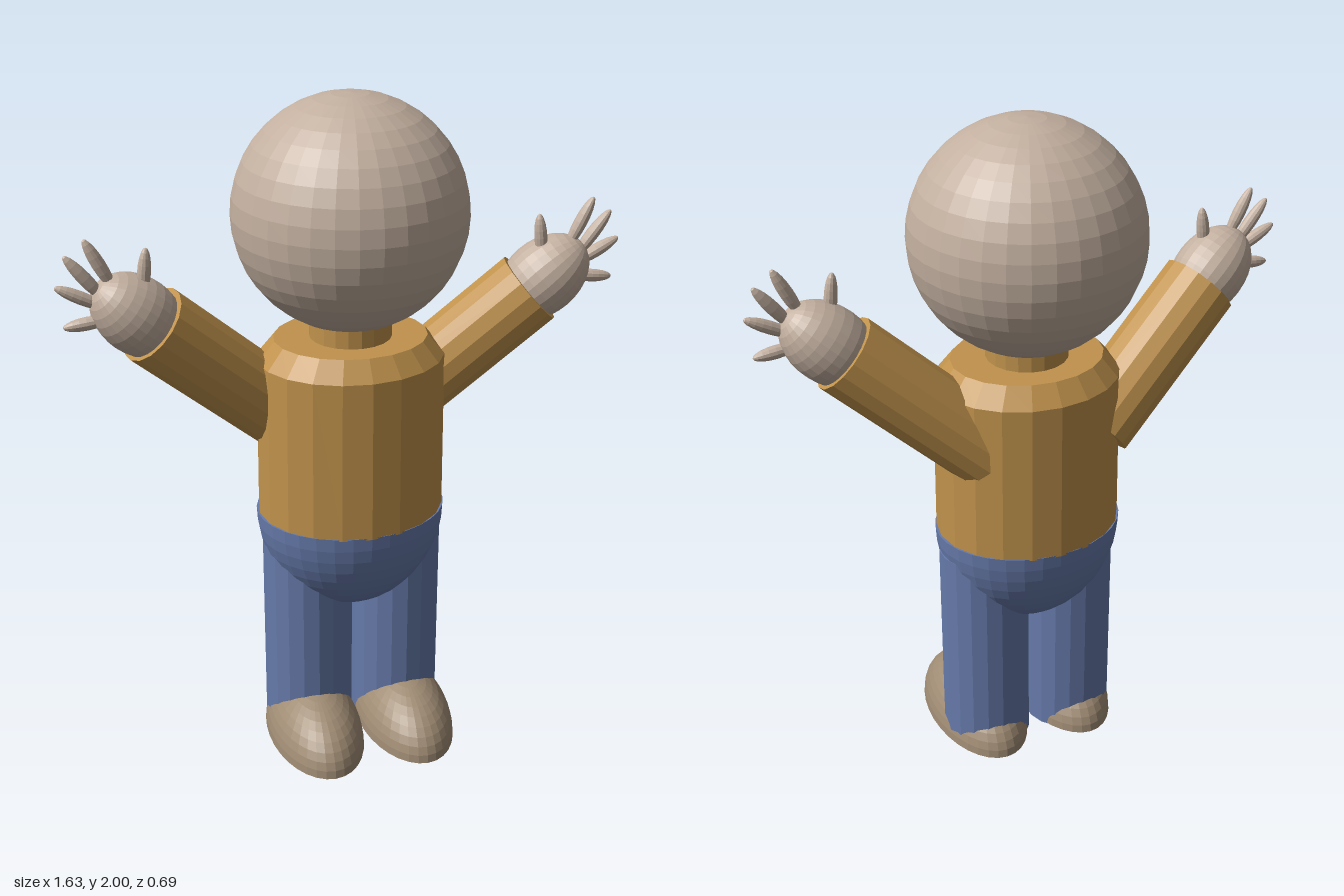
import * as THREE from 'three';

const paint = (color) => new THREE.MeshStandardMaterial({ color, flatShading: true });
const CX = 0.02; // the trunk and legs sit slightly to one side of the arms
const UP = new THREE.Vector3(0, 1, 0);

export function createModel() {
  const model = new THREE.Group();
  model.name = 'figure';
  const skin = paint(0xc2af9f);
  const shirt = paint(0xc0924c);
  const trousers = paint(0x667aaa);
  const leather = paint(0xa08c74);

  const add = (name, geometry, material, position, scale = [1, 1, 1], parent = model) => {
    const mesh = new THREE.Mesh(geometry, material);
    mesh.name = name;
    mesh.position.set(...position);
    mesh.scale.set(...scale);
    parent.add(mesh);
    return mesh;
  };

  // Stretches a mesh's own y axis along the line between two points
  const aim = (mesh, from, to) => {
    mesh.position.copy(from).add(to).multiplyScalar(0.5);
    mesh.quaternion.setFromUnitVectors(UP, to.clone().sub(from).normalize());
    return mesh;
  };

  // Head and neck
  add('head', new THREE.SphereGeometry(0.336, 32, 20), skin, [CX, 1.664, -0.005]);
  add('neck', new THREE.CylinderGeometry(0.12, 0.12, 0.16, 20), shirt, [CX, 1.3, 0]);

  // Torso with sloped shoulders, oval in plan
  const outline = [[0, 0.75], [0.28, 0.75], [0.276, 1.24], [0.226, 1.3], [0, 1.3]];
  const torso = new THREE.LatheGeometry(outline.map(([x, y]) => new THREE.Vector2(x, y)), 20);
  add('torso', torso, shirt, [CX, 0, 0], [1, 1, 0.86]);

  // Hips: lower half of an ellipsoid with a flat top
  const bowl = new THREE.SphereGeometry(1, 32, 12, 0, Math.PI * 2, Math.PI / 2, Math.PI / 2);
  add('hips', bowl, trousers, [CX, 0.755, 0], [0.285, 0.325, 0.24]);
  add('hipsTop', new THREE.CircleGeometry(1, 32).rotateX(-Math.PI / 2), trousers,
    [CX, 0.755, 0], [0.285, 1, 0.24]);

  const dome = new THREE.SphereGeometry(1, 32, 10, 0, Math.PI * 2, 0, Math.PI / 2);
  const sole = new THREE.CircleGeometry(1, 32).rotateX(Math.PI / 2);
  const ball = new THREE.SphereGeometry(1, 24, 16);
  const fingerBall = new THREE.SphereGeometry(1, 12, 10);

  // Base and tip of thumb and fingers, in the plane of the hand
  const fingers = [
    [0.58, 1.49, 0.565, 1.63],
    [0.655, 1.52, 0.73, 1.667],
    [0.68, 1.49, 0.785, 1.625],
    [0.68, 1.47, 0.815, 1.54],
    [0.67, 1.437, 0.8, 1.422],
  ];

  for (const side of [-1, 1]) {
    const label = side > 0 ? 'left' : 'right';
    const at = (x, y, z) => new THREE.Vector3(side * x, y, z);

    // Leg and shoe
    add(label + 'Leg', new THREE.CylinderGeometry(0.136, 0.136, 0.69, 18), trousers,
      [CX + 0.007 + side * 0.14, 0.345, -0.005]);
    const shoe = new THREE.Group();
    shoe.name = label + 'Shoe';
    shoe.position.set(CX + 0.007 + side * 0.146, 0.002, 0.08);
    shoe.scale.set(0.145, 0.163, 0.265);
    add('upper', dome, leather, [0, 0, 0], [1, 1, 1], shoe);
    add('sole', sole, leather, [0, 0, 0], [1, 1, 1], shoe);
    model.add(shoe);

    // Raised sleeve
    const shoulder = at(0.17, 1.053, -0.062);
    const wrist = at(0.555, 1.4, 0.027);
    const length = shoulder.distanceTo(wrist);
    const sleeve = new THREE.CylinderGeometry(0.116, 0.116, length, 16);
    aim(add(label + 'Sleeve', sleeve, shirt, [0, 0, 0]), shoulder, wrist);

    // Hand
    const hand = new THREE.Group();
    hand.name = label + 'Hand';
    model.add(hand);
    aim(add('palm', ball, skin, [0, 0, 0], [0.108, 0.15, 0.108], hand),
      at(0.49, 1.337, 0.015), at(0.696, 1.527, 0.055));
    fingers.forEach(([x0, y0, x1, y1], i) => {
      const base = at(x0, y0, 0.052);
      const tip = at(x1, y1, 0.052);
      const half = base.distanceTo(tip) / 2;
      const name = i ? 'finger' + i : 'thumb';
      aim(add(name, fingerBall, skin, [0, 0, 0], [0.019, half, 0.019], hand), base, tip);
    });
  }
  return model;
}
